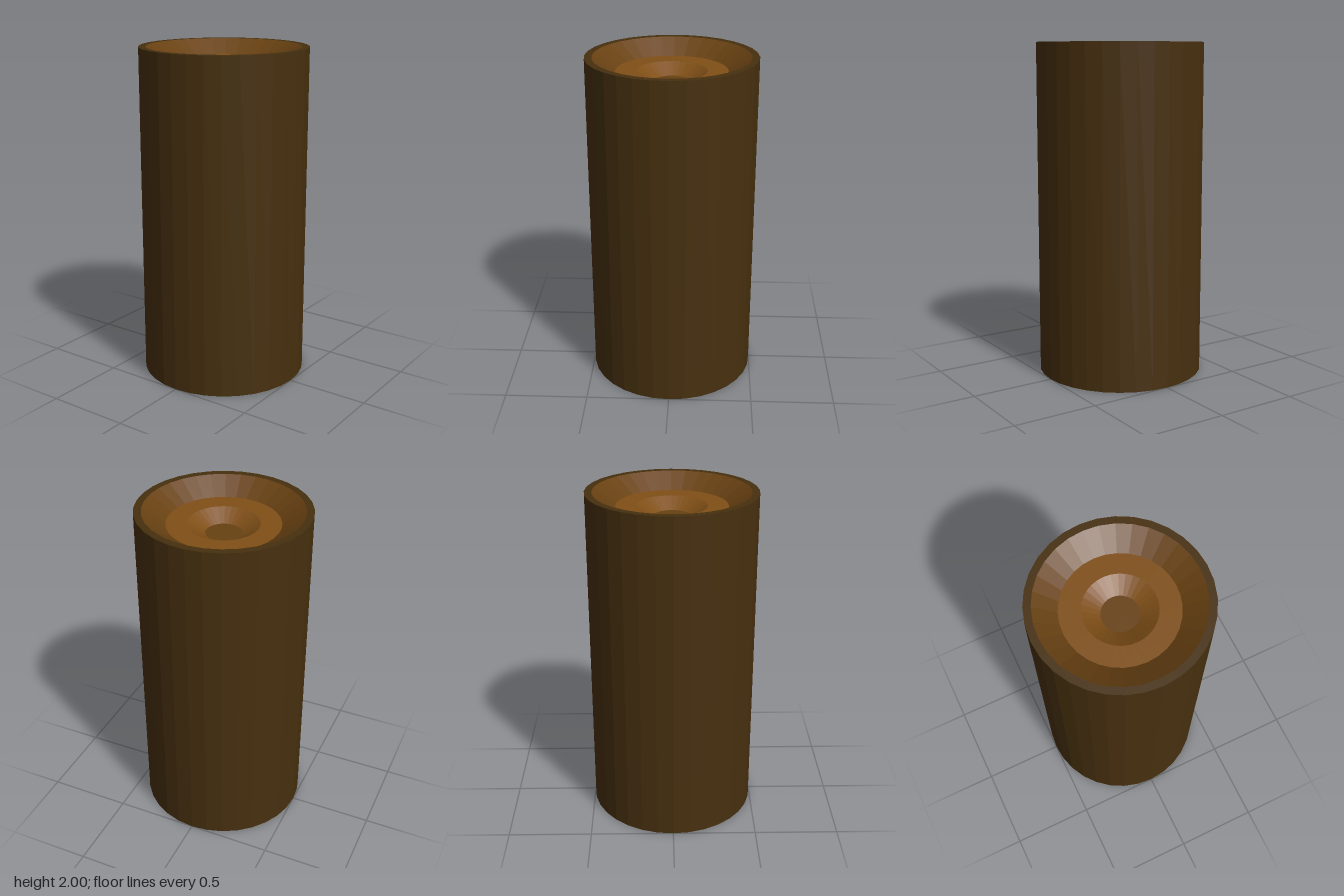
import * as THREE from 'three';

const SIDES = 32;
const HEIGHT = 2;
const bark = new THREE.MeshStandardMaterial({ color: 0x47300f, flatShading: true });
const darkWood = new THREE.MeshStandardMaterial({ color: 0x684112, flatShading: true });
const lightWood = new THREE.MeshStandardMaterial({ color: 0x7f4f17, flatShading: true });

// Ring of an end face, from inner to outer edge: [radius, depth below the rim]
const RINGS = [
  ['hollowFloor', darkWood, [0, 0.145], [0.105, 0.145]],
  ['hollowSlope', lightWood, [0.105, 0.145], [0.205, 0.085]],
  ['innerRing', lightWood, [0.205, 0.085], [0.325, 0.085]],
  ['outerSlope', darkWood, [0.325, 0.085], [0.457, 0]],
  ['barkRim', bark, [0.457, 0], [0.5, 0]],
];

function turned(name, material, points) {
  const profile = points.map(([r, y]) => new THREE.Vector2(r, y));
  const mesh = new THREE.Mesh(new THREE.LatheGeometry(profile, SIDES), material);
  mesh.name = name;
  return mesh;
}

// Recessed end; the top end runs its profile inwards so that it faces up
function logEnd(name, isTop) {
  const end = new THREE.Group();
  end.name = name;
  for (const [part, material, ...edges] of RINGS) {
    const points = edges.map(([r, d]) => [r, isTop ? HEIGHT - d : d]);
    if (isTop) points.reverse();
    end.add(turned(part, material, points));
  }
  return end;
}

export function createModel() {
  const log = new THREE.Group();
  log.name = 'log';
  log.add(
    turned('barkSide', bark, [[0.5, 0], [0.5, HEIGHT]]),
    logEnd('topEnd', true),
    logEnd('bottomEnd', false),
  );
  return log;
}
